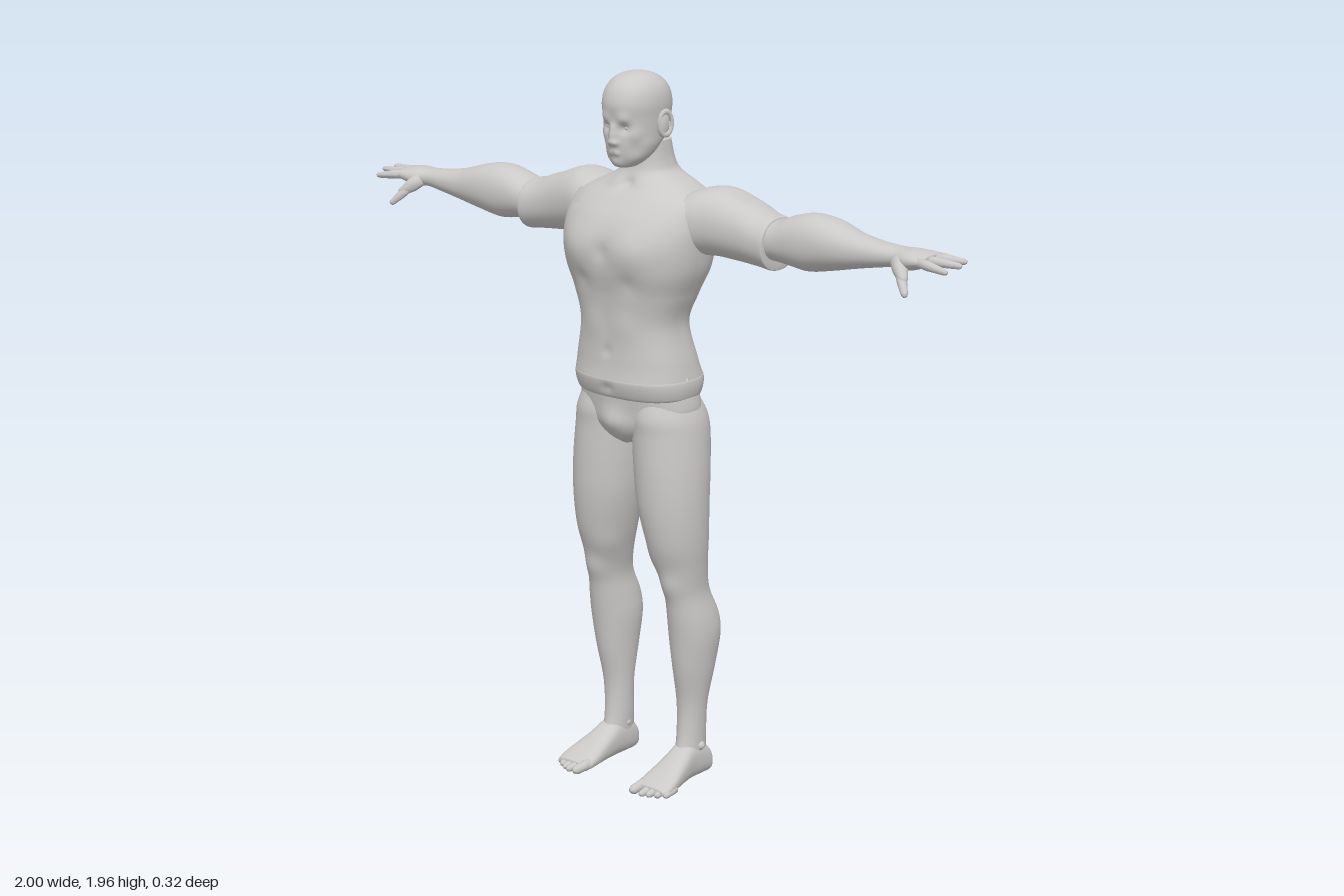
import * as THREE from 'three';

const clay = new THREE.MeshStandardMaterial({ color: 0xcbc9c7, side: THREE.DoubleSide });
clay.name = 'pale grey';

// Axis order [along, u, v]: sections are [along, uMin, uMax, vMin, vMax]
const AXES = { x: [0, 1, 2], y: [1, 2, 0], z: [2, 0, 1] };

function smoothSection(s, f) {
  const i = Math.min(Math.floor(f), s.length - 2), t = f - i;
  const a = s[Math.max(i - 1, 0)], b = s[i], c = s[i + 1], d = s[Math.min(i + 2, s.length - 1)];
  return b.map((_, k) => b[k] + 0.5 * t * (c[k] - a[k]
    + t * (2 * a[k] - 5 * b[k] + 4 * c[k] - d[k] + t * (3 * (b[k] - c[k]) + d[k] - a[k]))));
}

// Skin smoothed superellipse sections; bumps are [x, y, z, radius, height], mirrored in x
function loft(axis, sections, { sides = 40, steps = 6, power = 2, grow = 0, bumps = [], keep = null } = {}) {
  const order = AXES[axis], pos = [], index = [], rows = (sections.length - 1) * steps;
  const sorted = [...sections].sort((a, b) => a[0] - b[0]);
  const put = (t, u, v) => {
    const p = [0, 0, 0];
    p[order[0]] = t; p[order[1]] = u; p[order[2]] = v;
    return p;
  };
  const round = (c) => Math.sign(c) * Math.abs(c) ** (2 / power);
  for (let r = 0; r <= rows; r++) {
    const [t, u0, u1, v0, v1] = smoothSection(sorted, r / steps);
    for (let j = 0; j < sides; j++) {
      const a = (j / sides) * Math.PI * 2, cu = Math.cos(a), cv = Math.sin(a);
      const u = (u0 + u1) / 2 + ((u1 - u0) / 2 + grow) * round(cu);
      const v = (v0 + v1) / 2 + ((v1 - v0) / 2 + grow) * round(cv);
      const p = put(t, u, v);
      let h = 0;
      for (const [x, y, z, rad, amount] of bumps) {
        const d2 = (Math.abs(p[0]) - x) ** 2 + (p[1] - y) ** 2 + (p[2] - z) ** 2;
        h += amount * Math.exp(-d2 / (rad * rad));
      }
      pos.push(...put(t, u + h * cu, v + h * cv));
    }
  }
  for (let r = 0; r < rows; r++) {
    for (let j = 0; j < sides; j++) {
      const a = r * sides + j, b = r * sides + (j + 1) % sides, c = a + sides, d = b + sides;
      const mid = [0, 1, 2].map((k) => (pos[a * 3 + k] + pos[b * 3 + k] + pos[c * 3 + k] + pos[d * 3 + k]) / 4);
      if (!keep || keep(...mid)) index.push(a, b, d, a, d, c);
    }
  }
  // Flat end caps on closed parts
  if (!keep) {
    for (const r of [0, rows]) {
      const [t, u0, u1, v0, v1] = sorted[r ? sorted.length - 1 : 0];
      const centre = pos.length / 3;
      pos.push(...put(t, (u0 + u1) / 2, (v0 + v1) / 2));
      for (let j = 0; j < sides; j++) {
        const a = r * sides + j, b = r * sides + (j + 1) % sides;
        index.push(centre, ...(r ? [a, b] : [b, a]));
      }
    }
  }
  const g = new THREE.BufferGeometry();
  g.setAttribute('position', new THREE.Float32BufferAttribute(pos, 3));
  g.setIndex(index);
  g.computeVertexNormals();
  return g;
}

// Tapered round digit between two points
function digit(from, to, r0, r1) {
  const a = new THREE.Vector3(...from), dir = new THREE.Vector3(...to).sub(a), len = dir.length();
  const profile = [[0.001, 0], [r0, 0.002], [r0, len * 0.4], [r0 * 0.92, len * 0.5], [r1, len - r1], [r1 * 0.7, len - r1 * 0.3], [0.0005, len]];
  const g = new THREE.LatheGeometry(profile.map(([x, y]) => new THREE.Vector2(x, y)), 12);
  const turn = new THREE.Quaternion().setFromUnitVectors(new THREE.Vector3(0, 1, 0), dir.normalize());
  return g.applyQuaternion(turn).translate(...from);
}

function ball(x, y, z, sx, sy, sz) {
  return new THREE.SphereGeometry(1, 20, 14).scale(sx, sy, sz).translate(x, y, z);
}

function mirrored(g) {
  const m = g.clone().scale(-1, 1, 1), ix = m.index.array;
  for (let i = 0; i < ix.length; i += 3) [ix[i], ix[i + 1]] = [ix[i + 1], ix[i]];
  m.computeVertexNormals();
  return m;
}

export function createModel() {
  const model = new THREE.Group();
  model.name = 'standing figure';
  const add = (name, g) => {
    const mesh = new THREE.Mesh(g, clay);
    mesh.name = name;
    model.add(mesh);
  };
  const pair = (name, g) => {
    add(name + 'Left', g);
    add(name + 'Right', mirrored(g));
  };
  const sym = (rows) => rows.map(([y, back, front, w]) => [y, back, front, -w, w]);

  // Torso and neck, with chest, shoulder blades, spine and belly modelled as bumps
  const torso = sym([
    [1.155, -0.13, 0.13, 0.172], [1.2, -0.113, 0.125, 0.164], [1.3, -0.09, 0.124, 0.146],
    [1.38, -0.113, 0.132, 0.17], [1.45, -0.14, 0.146, 0.198], [1.52, -0.15, 0.148, 0.208],
    [1.58, -0.152, 0.125, 0.208], [1.63, -0.15, 0.083, 0.195], [1.66, -0.14, 0.05, 0.145],
    [1.69, -0.122, 0.032, 0.085], [1.72, -0.105, 0.024, 0.068], [1.78, -0.088, 0.02, 0.062]]);
  const muscles = [
    [0.09, 1.5, 0.14, 0.06, 0.01], [0, 1.5, 0.15, 0.025, -0.006], [0.1, 1.53, -0.14, 0.06, 0.01],
    [0.08, 1.42, 0.14, 0.03, -0.005], [0.05, 1.3, 0.12, 0.04, 0.004], [0, 1.23, 0.13, 0.015, -0.004],
    [0.06, 1.28, -0.09, 0.05, 0.006], [0.04, 1.665, 0.04, 0.025, 0.005], [0, 1.665, 0.045, 0.015, -0.008]];
  for (let y = 1.2; y < 1.62; y += 0.04) muscles.push([0, y, y < 1.4 ? -0.1 : -0.15, 0.03, -0.006]);
  add('torsoAndNeck', loft('y', torso, { sides: 96, steps: 8, power: 2.4, bumps: muscles }));

  // Shirt over the torso, cut away at a stepped neckline and slit along each side
  const neckSteps = [[0.075, 1.53], [0.13, 1.575], [0.155, 1.605], [0.19, 1.635], [1, 1.66]];
  const onShirt = (x, y, z) => {
    if (y < 1.5 && Math.abs(z - 0.012) < 0.003 && Math.abs(x) > 0.1) return false;
    if (z < -0.03) return y < 1.635;
    return y < neckSteps.find(([w]) => Math.abs(x) < w)[1];
  };
  add('shirt', loft('y', torso, { sides: 192, steps: 14, power: 2.4, grow: 0.006, bumps: muscles, keep: onShirt }));

  // Waistband
  add('waistband', loft('y', sym([
    [1.1, -0.118, 0.112, 0.168], [1.106, -0.128, 0.122, 0.175], [1.13, -0.137, 0.132, 0.18],
    [1.152, -0.138, 0.136, 0.179], [1.16, -0.13, 0.13, 0.172]]),
  { sides: 96, power: 2.4, bumps: [[0, 1.13, 0.13, 0.014, -0.007], [0, 1.13, -0.137, 0.014, -0.008]] }));

  // Pelvis
  add('pelvis', loft('y', sym([
    [0.965, -0.05, 0.06, 0.02], [0.985, -0.095, 0.085, 0.07], [1.02, -0.115, 0.098, 0.15],
    [1.06, -0.122, 0.104, 0.18], [1.12, -0.118, 0.114, 0.172]]),
  { sides: 64, power: 2.3, bumps: [[0, 1.03, 0.1, 0.04, 0.02], [0, 1.03, -0.12, 0.025, -0.02]] }));

  // Legs
  pair('leg', loft('y', [
    [1.1, -0.1, 0.09, 0.012, 0.165], [1.05, -0.124, 0.102, 0.004, 0.188], [1, -0.13, 0.1, 0.003, 0.198],
    [0.9, -0.12, 0.1, 0.01, 0.207], [0.8, -0.11, 0.095, 0.022, 0.209], [0.7, -0.105, 0.078, 0.045, 0.205],
    [0.62, -0.102, 0.05, 0.068, 0.196], [0.55, -0.112, 0.032, 0.084, 0.191], [0.48, -0.142, 0.02, 0.079, 0.202],
    [0.42, -0.15, 0.01, 0.076, 0.205], [0.33, -0.136, -0.003, 0.084, 0.193], [0.22, -0.114, -0.023, 0.093, 0.175],
    [0.12, -0.116, -0.02, 0.096, 0.168], [0.05, -0.122, 0, 0.1, 0.167]],
  { sides: 48, bumps: [[0.08, 1.03, -0.12, 0.05, 0.008], [0.135, 0.575, 0.035, 0.035, 0.008], [0.09, 0.65, 0.04, 0.04, 0.006]] }));

  // Feet, toes and ankle bones
  pair('foot', loft('z', [
    [-0.132, 0.122, 0.148, 0.015, 0.035], [-0.122, 0.105, 0.165, 0.002, 0.07], [-0.09, 0.098, 0.169, 0, 0.1],
    [-0.04, 0.096, 0.172, 0, 0.108], [0.01, 0.093, 0.182, 0, 0.082], [0.06, 0.088, 0.194, 0, 0.057],
    [0.1, 0.087, 0.199, 0, 0.038], [0.122, 0.095, 0.19, 0.006, 0.026]], { sides: 36, power: 2.5 }));
  for (let i = 0; i < 5; i++) {
    const r = i ? 0.011 : 0.015, x = i ? 0.112 + i * 0.0195 : 0.103;
    pair('toe' + (i + 1), digit([x, r + 0.006, 0.085 - i * 0.004], [x + 0.002, r, 0.157 - i * i * 0.0016 - i * 0.003], r, r * 0.9));
  }
  pair('ankleBone', ball(0.135, 0.095, -0.07, 0.042, 0.02, 0.02));

  // Shoulders with short sleeves
  pair('sleeve', loft('x', [
    [0.1, 1.53, 1.63, -0.145, 0.05], [0.15, 1.5, 1.652, -0.158, 0.052], [0.2, 1.49, 1.668, -0.163, 0.045],
    [0.25, 1.49, 1.67, -0.162, 0.032], [0.32, 1.485, 1.65, -0.155, 0.02], [0.38, 1.481, 1.625, -0.146, 0.018],
    [0.418, 1.477, 1.617, -0.14, 0.019], [0.424, 1.482, 1.612, -0.135, 0.015], [0.425, 1.5, 1.6, -0.12, 0]],
  { sides: 48, power: 2.2, bumps: [[0.31, 1.66, -0.07, 0.04, -0.006]] }));

  // Arms and palms
  pair('arm', loft('x', [
    [0.36, 1.502, 1.604, -0.124, 0.004], [0.43, 1.504, 1.612, -0.128, 0.008], [0.48, 1.498, 1.63, -0.126, 0.01],
    [0.535, 1.492, 1.641, -0.13, 0.012], [0.6, 1.503, 1.634, -0.128, 0.01], [0.68, 1.521, 1.612, -0.104, 0.002],
    [0.75, 1.535, 1.601, -0.092, -0.004], [0.81, 1.545, 1.596, -0.088, -0.008], [0.85, 1.543, 1.597, -0.097, 0.006],
    [0.885, 1.552, 1.594, -0.104, 0.008], [0.91, 1.56, 1.588, -0.1, 0.003]], { sides: 40, power: 2.2 }));

  // Fingers from little finger to index, then the thumb
  const fingers = [
    [-0.09, [0.958, 1.572, -0.095]], [-0.063, [0.99, 1.578, -0.073]],
    [-0.035, [1, 1.574, -0.036]], [-0.008, [0.985, 1.562, 0.004]]];
  fingers.forEach(([z, tip], i) => pair('finger' + (i + 1), digit([0.885, 1.575, z], tip, 0.0125, 0.008)));
  pair('thumbBase', digit([0.825, 1.568, -0.015], [0.875, 1.525, 0.027], 0.02, 0.013));
  pair('thumb', digit([0.853, 1.54, 0.012], [0.892, 1.496, 0.045], 0.0125, 0.009));

  // Head: the jaw rings widen backwards; brow, sockets, nose, lips and chin are bumps
  add('head', loft('y', sym([
    [1.712, 0.04, 0.07, 0.012], [1.718, 0.022, 0.083, 0.032], [1.74, -0.015, 0.094, 0.056],
    [1.77, -0.05, 0.1, 0.069], [1.8, -0.076, 0.101, 0.073], [1.84, -0.09, 0.104, 0.077],
    [1.88, -0.094, 0.109, 0.08], [1.915, -0.083, 0.098, 0.074], [1.94, -0.06, 0.076, 0.057],
    [1.954, -0.03, 0.046, 0.034], [1.96, 0.005, 0.01, 0.003]]),
  { sides: 112, steps: 10, power: 2.15, bumps: [
    [0, 1.784, 0.108, 0.013, 0.02], [0, 1.803, 0.104, 0.012, 0.012], [0, 1.82, 0.102, 0.011, 0.007],
    [0.011, 1.78, 0.103, 0.007, 0.006], [0.03, 1.843, 0.098, 0.017, 0.006], [0.03, 1.82, 0.094, 0.014, -0.01],
    [0, 1.758, 0.102, 0.012, 0.006], [0.01, 1.752, 0.098, 0.007, 0.004], [0, 1.755, 0.104, 0.004, -0.004],
    [0, 1.725, 0.086, 0.018, 0.007], [0.05, 1.8, 0.075, 0.02, 0.004], [0.045, 1.77, 0.07, 0.02, -0.004]] }));
  pair('eye', ball(0.03, 1.82, 0.079, 0.011, 0.008, 0.01));

  // Ears
  pair('ear', ball(0.079, 1.826, -0.004, 0.013, 0.036, 0.021));
  pair('earRim', new THREE.TorusGeometry(0.019, 0.005, 8, 24).scale(1, 1.6, 1).rotateY(Math.PI / 2 - 0.3).translate(0.087, 1.828, -0.006));

  return model;
}
